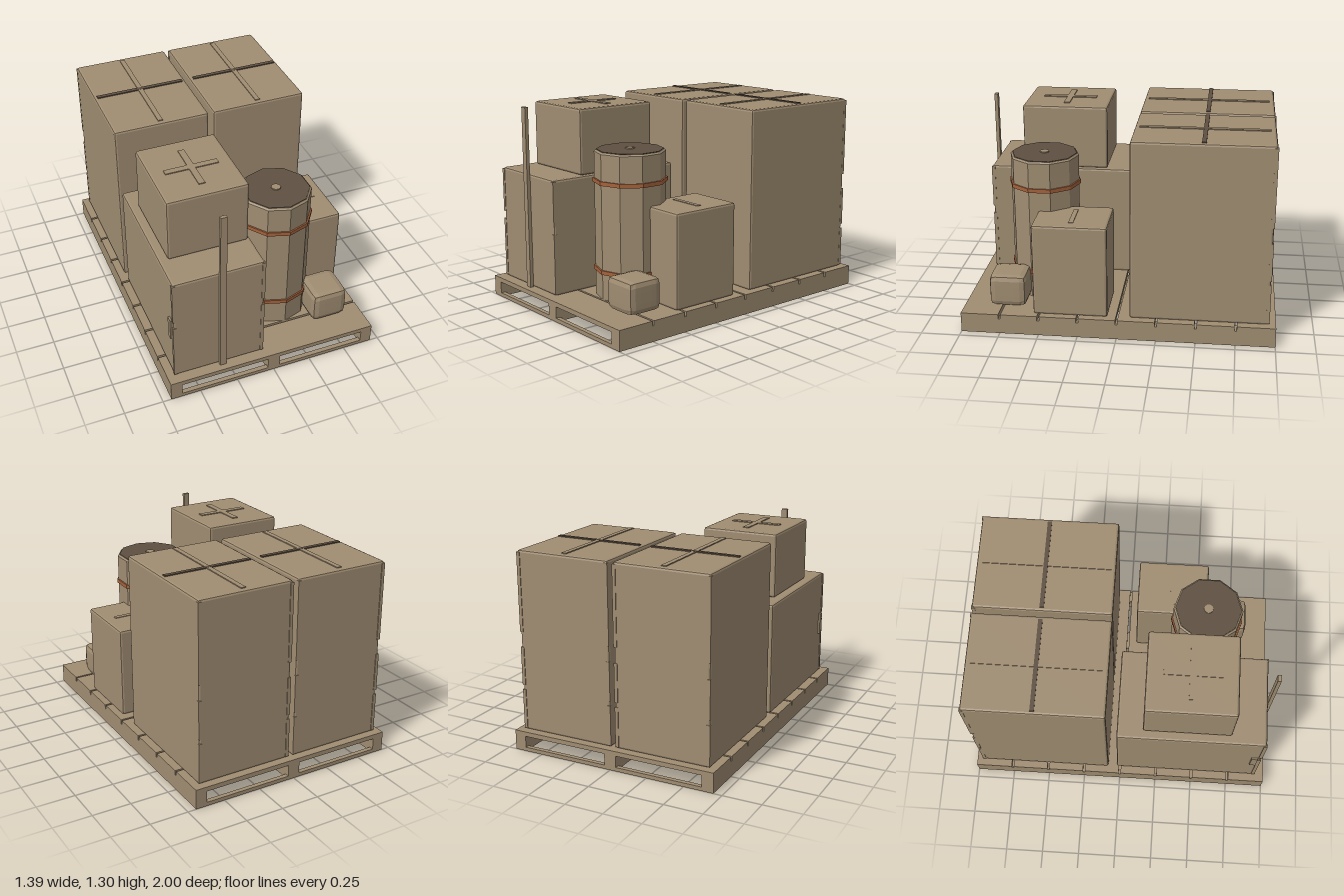
import * as THREE from 'three';
import { RoundedBoxGeometry } from 'three/addons/geometries/RoundedBoxGeometry.js';

const mat = (name, color) => {
  const m = new THREE.MeshStandardMaterial({ color, flatShading: true });
  m.name = name;
  return m;
};

export function createModel() {
  const tan = mat('tan board', 0xa08d72);
  const rust = mat('rust band', 0xa5623c);
  const dark = mat('dark lid', 0x5f5143);
  const model = new THREE.Group();

  const add = (parent, name, geometry, material, x = 0, y = 0, z = 0) => {
    const mesh = new THREE.Mesh(geometry, material);
    mesh.name = name;
    mesh.position.set(x, y, z);
    parent.add(mesh);
    return mesh;
  };
  // Box given by its extents on each axis
  const block = (parent, name, [x0, x1], [y0, y1], [z0, z1], material = tan, bevel = 0) => {
    const size = [x1 - x0, y1 - y0, z1 - z0];
    const geometry = bevel ? new RoundedBoxGeometry(...size, 1, bevel) : new THREE.BoxGeometry(...size);
    return add(parent, name, geometry, material, (x0 + x1) / 2, (y0 + y1) / 2, (z0 + z1) / 2);
  };
  const group = (name) => {
    const g = new THREE.Group();
    g.name = name;
    model.add(g);
    return g;
  };

  // Pallet: deck boards with gaps, stringers, blocks and slotted ends
  const pallet = group('pallet');
  for (let i = 0; i < 8; i++) {
    const z0 = i === 0 ? -0.97 : -1 + i * 0.25 + 0.007;
    const z1 = i === 7 ? 0.97 : -0.75 + i * 0.25 - 0.007;
    block(pallet, 'deckBoard', [-0.695, 0.695], [0.1, 0.13], [z0, z1]);
  }
  for (const [x0, x1] of [[-0.695, -0.62], [-0.04, 0.04], [0.62, 0.695]])
    block(pallet, 'stringer', [x0, x1], [0, 0.1], [-0.97, 0.97]);
  for (const x of [-0.31, 0.31])
    for (const z of [-0.8, 0, 0.8])
      block(pallet, 'spacerBlock', [x - 0.062, x + 0.062], [0.025, 0.1], [z - 0.06, z + 0.06]);
  for (const s of [-1, 1]) {
    const z = s > 0 ? [0.97, 1] : [-1, -0.97];
    block(pallet, 'endTopRail', [-0.695, 0.695], [0.1, 0.13], z);
    block(pallet, 'endBottomRail', [-0.695, 0.695], [0, 0.025], z);
    for (const [x0, x1] of [[-0.695, -0.62], [-0.04, 0.04], [0.62, 0.695]])
      block(pallet, 'endPost', [x0, x1], [0.025, 0.1], z);
  }

  // Crates with chamfered edges
  const crates = group('crates');
  const crate = (name, x, y, z) => block(crates, name, x, y, z, tan, 0.015);
  crate('tallCrateRight', [-0.65, -0.018], [0.13, 1.298], [-0.955, -0.08]);
  crate('tallCrateLeft', [0.016, 0.65], [0.13, 1.298], [-0.955, -0.08]);
  crate('wideCrate', [-0.645, -0.055], [0.13, 0.875], [-0.02, 0.935]);
  crate('stackedCrate', [-0.59, -0.072], [0.875, 1.298], [0.145, 0.713]);
  crate('smallCrate', [0.28, 0.655], [0.13, 0.735], [0.06, 0.535]);

  // Thin straps over the crate tops
  const straps = group('straps');
  for (const x of [-0.335, 0.335]) {
    block(straps, 'crossStrap', [x - 0.295, x + 0.295], [1.297, 1.305], [-0.535, -0.508], dark);
    block(straps, 'lengthStrap', [x - 0.016, x + 0.016], [1.296, 1.304], [-0.92, -0.11]);
  }
  block(straps, 'stackedLengthStrap', [-0.35, -0.31], [1.297, 1.304], [0.25, 0.61]);
  block(straps, 'stackedCrossStrap', [-0.5, -0.16], [1.297, 1.304], [0.41, 0.45]);
  block(straps, 'smallCrateStrap', [0.35, 0.58], [0.733, 0.739], [0.28, 0.31]);
  block(straps, 'sideLatch', [-0.657, -0.64], [0.43, 0.58], [0.87, 0.91]);

  // Corner guards, broken into lengths
  for (const [y0, y1] of [[0.14, 0.4], [0.43, 0.68], [0.78, 1.285]])
    for (const x of [-0.64, -0.028, 0.026, 0.64])
      block(straps, 'cornerGuard', [x - 0.011, x + 0.011], [y0, y1], [-0.959, -0.937]);
  for (const [y0, y1] of [[0.14, 0.53], [0.58, 0.865]])
    for (const x of [-0.637, -0.063])
      block(straps, 'cornerGuard', [x - 0.011, x + 0.011], [y0, y1], [0.915, 0.938]);

  // Upright slat standing against the wide crate
  block(model, 'uprightSlat', [-0.353, -0.312], [0.13, 1.305], [0.937, 0.96]);

  // Ten-sided barrel with rust bands and a dark lid
  const barrel = group('barrel');
  barrel.position.set(0.19, 0, 0.522);
  const drum = (name, rTop, rBottom, y0, y1, material) =>
    add(barrel, name, new THREE.CylinderGeometry(rTop, rBottom, y1 - y0, 10), material, 0, (y0 + y1) / 2);
  drum('barrelBody', 0.224, 0.224, 0.13, 1.052, tan);
  drum('barrelRim', 0.213, 0.224, 1.052, 1.062, tan);
  drum('barrelLid', 0.211, 0.211, 1.06, 1.066, dark);
  drum('barrelPlug', 0.03, 0.03, 1.064, 1.073, tan);
  for (const y of [0.295, 0.86]) drum('barrelBand', 0.234, 0.234, y, y + 0.026, rust);

  // Soft sack: a box whose points are pushed onto a rounded cube
  const sackShape = new THREE.BoxGeometry(2, 2, 2, 6, 6, 6);
  const pos = sackShape.attributes.position;
  const p = new THREE.Vector3();
  for (let i = 0; i < pos.count; i++) {
    p.fromBufferAttribute(pos, i);
    const n = Math.pow(p.x ** 8 + p.y ** 8 + p.z ** 8, 1 / 8);
    p.divideScalar(n);
    pos.setXYZ(i, p.x * 0.12, p.y * 0.104, p.z * 0.12);
  }
  sackShape.computeVertexNormals();
  add(model, 'sack', sackShape, tan, 0.468, 0.242, 0.716);

  return model;
}
